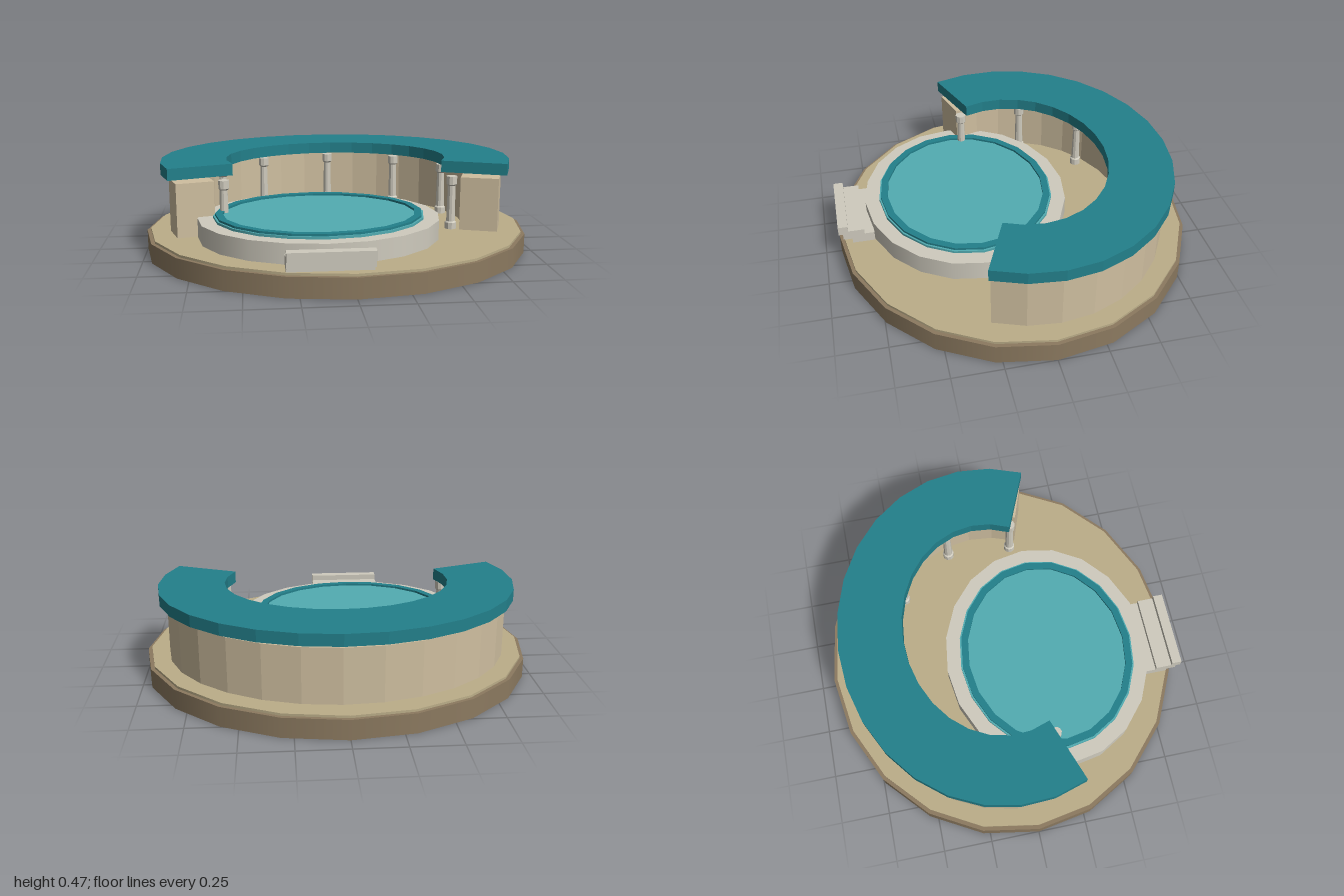
import * as THREE from 'three';

const mat = (color, extra = {}) => new THREE.MeshStandardMaterial({ color, ...extra });
const MATS = {
  stone: mat(0x8c7a60),
  sand: mat(0xbcae89),
  wall: mat(0xcfbfa0),
  pale: mat(0xcfcbbe),
  teal: mat(0x23808b),
  water: mat(0x52acb2),
};
const RING_Z = -0.03; // centre of the curved building
const rad = THREE.MathUtils.degToRad;

export function createModel() {
  const model = new THREE.Group();
  model.name = 'poolPavilion';

  const add = (name, geometry, material, x = 0, y = 0, z = 0, parent = model) => {
    const mesh = new THREE.Mesh(geometry, material);
    mesh.name = name;
    mesh.position.set(x, y, z);
    parent.add(mesh);
    return mesh;
  };

  // Oval 20-sided slab between two heights
  const disc = (name, rx, rz, y0, y1, material, x = 0, z = 0) => {
    const g = new THREE.CylinderGeometry(1, 1, y1 - y0, 20);
    g.scale(rx, 1, rz);
    return add(name, g, material, x, (y0 + y1) / 2, z);
  };

  // Flat outline (shape y = -z) raised from y0 to y1
  const raise = (name, shape, y0, y1, material, x, z) => {
    const g = new THREE.ExtrudeGeometry(shape, { depth: y1 - y0, bevelEnabled: false });
    g.rotateX(-Math.PI / 2);
    return add(name, g, material, x, y0, z);
  };

  const ovalPoints = (rx, rz, from, to, n) =>
    Array.from({ length: n + 1 }, (_, i) => {
      const a = rad(from + ((to - from) * i) / n);
      return new THREE.Vector2(rx * Math.cos(a), rz * Math.sin(a));
    });

  // Horseshoe band open towards the front
  const horseshoe = (name, outer, inner, y0, y1, material) => {
    const pts = [
      ...ovalPoints(outer[0], outer[1], -23.5, 200.5, 18),
      ...ovalPoints(inner[0], inner[1], -23.5, 200.5, 18).reverse(),
    ];
    return raise(name, new THREE.Shape(pts), y0, y1, material, 0, RING_Z);
  };

  // Ground platform
  disc('base', 1, 0.92, 0, 0.1, MATS.stone);
  disc('floor', 0.98, 0.902, 0.1, 0.112, MATS.sand);

  // Curved building and its floating roof
  horseshoe('curvedWall', [0.88, 0.76], [0.68, 0.6], 0.11, 0.39, MATS.wall);
  horseshoe('roof', [0.92, 0.8], [0.58, 0.47], 0.41, 0.47, MATS.teal);

  // Columns along the inside of the wall
  const columnProfile = [
    [0, 0], [0.03, 0], [0.03, 0.035], [0.023, 0.042], [0.02, 0.23],
    [0.028, 0.238], [0.028, 0.28], [0, 0.28],
  ].map(([r, y]) => new THREE.Vector2(r, y));
  const columnGeometry = new THREE.LatheGeometry(columnProfile, 10).toNonIndexed();
  columnGeometry.computeVertexNormals();
  const columns = new THREE.Group();
  columns.name = 'columns';
  model.add(columns);
  for (let k = -3; k <= 3; k++) {
    const a = rad(37 * k + 0.5);
    add('column', columnGeometry, MATS.pale,
      0.63 * Math.sin(a), 0.111, RING_Z - 0.55 * Math.cos(a), columns);
  }

  // Raised pool: pale surround, water and dark edging
  const px = -0.11, pz = 0.228;
  disc('poolSurround', 0.613, 0.536, 0.11, 0.212, MATS.pale, px, pz);
  disc('water', 0.535, 0.462, 0.21, 0.224, MATS.water, px, pz);
  const edging = new THREE.Shape(ovalPoints(0.525, 0.453, 0, 360, 20).slice(0, -1));
  edging.holes.push(new THREE.Path(ovalPoints(0.488, 0.417, 0, 360, 20).slice(0, -1)));
  raise('poolEdging', edging, 0.222, 0.235, MATS.teal, px, pz);

  // Three overlapping steps at the front: [z0, z1, y0, y1]
  const steps = new THREE.Group();
  steps.name = 'steps';
  model.add(steps);
  for (const [z0, z1, y0, y1] of [
    [0.74, 0.855, 0.113, 0.163],
    [0.79, 0.9, 0.14, 0.19],
    [0.872, 0.922, 0.173, 0.22],
  ]) {
    add('step', new THREE.BoxGeometry(0.395, y1 - y0, z1 - z0), MATS.pale,
      -0.112, (y0 + y1) / 2, (z0 + z1) / 2, steps);
  }

  return model;
}
